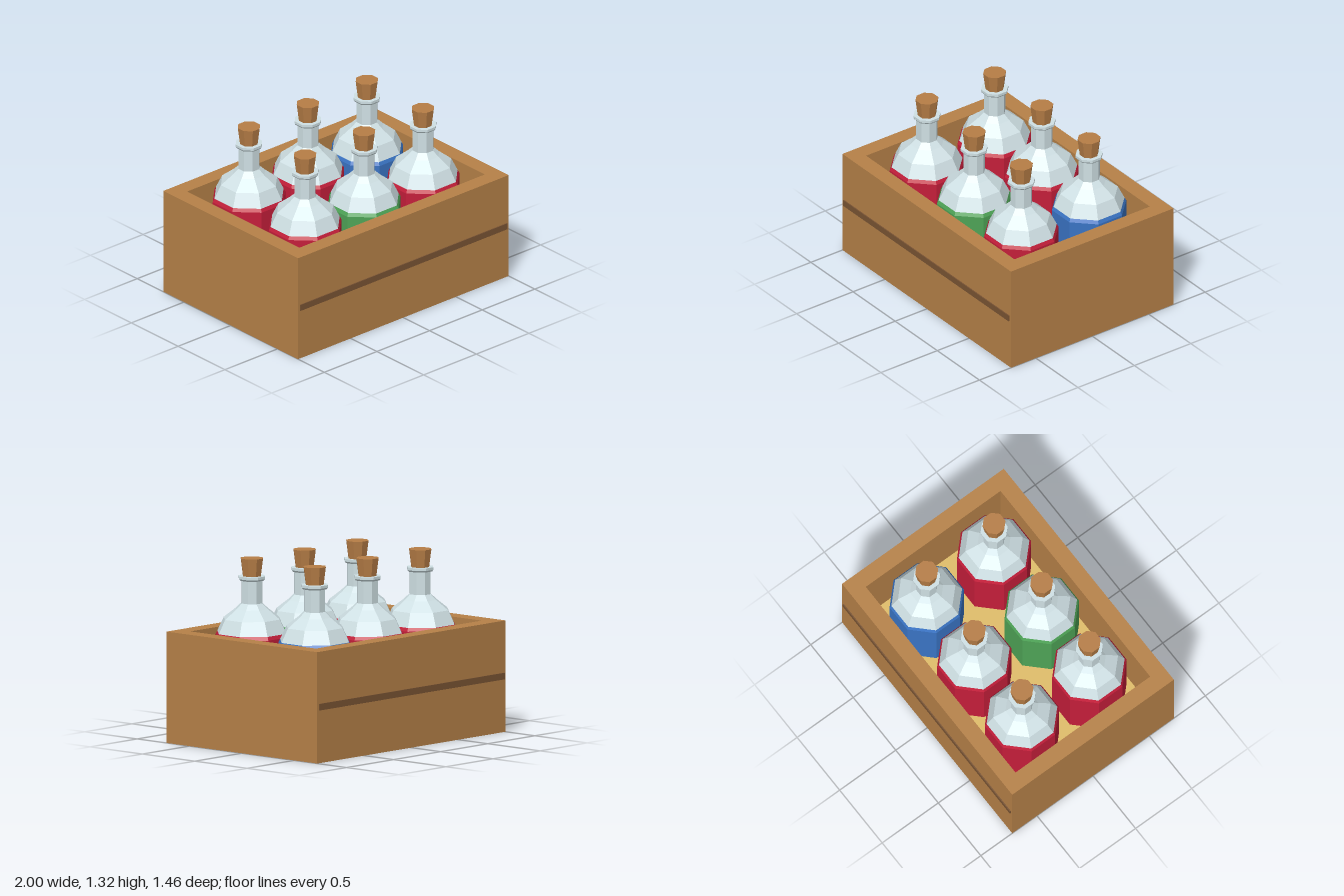
import * as THREE from 'three';

const paint = (name, color) => {
  const m = new THREE.MeshStandardMaterial({ color, flatShading: true });
  m.name = name;
  return m;
};

// Faceted eight-sided solid; the profile lists [distance to flat side, height]
function octagonal(name, profile, material) {
  const corner = 1 / Math.cos(Math.PI / 8);
  const points = profile.map(([r, y]) => new THREE.Vector2(r * corner, y));
  const geo = new THREE.LatheGeometry(points, 8, Math.PI / 8).toNonIndexed();
  geo.computeVertexNormals();
  const mesh = new THREE.Mesh(geo, material);
  mesh.name = name;
  return mesh;
}

function box(name, w, h, d, y, z, material) {
  const mesh = new THREE.Mesh(new THREE.BoxGeometry(w, h, d), material);
  mesh.position.set(0, y, z);
  mesh.name = name;
  return mesh;
}

// Rectangle outline, used for the crate rim and its opening
function rectangle(Type, x, z) {
  const p = new Type();
  p.moveTo(-x, -z);
  p.lineTo(x, -z);
  p.lineTo(x, z);
  p.lineTo(-x, z);
  p.closePath();
  return p;
}

export function createModel() {
  const wood = paint('wood', 0xb68148);
  const darkWood = paint('dark wood', 0x7a5433);
  const straw = paint('straw', 0xdfbc68);
  const glass = paint('glass', 0xcfe0e4);
  const cork = paint('cork', 0xb67d46);
  const red = paint('red liquid', 0xc41e3a);
  const green = paint('green liquid', 0x4ea356);
  const blue = paint('blue liquid', 0x3a74c4);

  const model = new THREE.Group();
  model.name = 'bottleCrate';

  // Crate walls, floor and straw bedding
  const rim = rectangle(THREE.Shape, 1, 0.72);
  rim.holes.push(rectangle(THREE.Path, 0.88, 0.6));
  const wallGeo = new THREE.ExtrudeGeometry(rim, { depth: 0.8, bevelEnabled: false });
  wallGeo.rotateX(-Math.PI / 2);
  const walls = new THREE.Mesh(wallGeo, wood);
  walls.name = 'crateWalls';
  model.add(walls);
  model.add(box('crateFloor', 1.76, 0.12, 1.2, 0.06, 0, wood));
  model.add(box('strawBedding', 1.76, 0.08, 1.2, 0.16, 0, straw));

  // Dark slats on the front and back
  for (const [name, side] of [['frontSlat', 1], ['backSlat', -1]]) {
    model.add(box(name, 1.965, 0.047, 0.02, 0.403, side * 0.718, darkWood));
  }

  // Six bottles: liquid-filled body, clear shoulder and neck, cork
  for (const z of [-0.3, 0.3]) {
    for (const x of [-0.56, 0, 0.56]) {
      const liquid = x > 0 && z < 0 ? blue : x === 0 && z > 0 ? green : red;
      const bottle = new THREE.Group();
      bottle.name = 'bottle';
      bottle.position.set(x, 0, z);
      bottle.add(
        octagonal('liquidBody', [[0, 0.2], [0.21, 0.2], [0.252, 0.25], [0.252, 0.765], [0.24, 0.79]], liquid),
        octagonal('shoulderAndNeck', [
          [0.24, 0.79], [0.195, 0.89], [0.112, 0.96], [0.073, 1.0], [0.073, 1.163],
          [0.083, 1.163], [0.092, 1.175], [0.092, 1.194], [0, 1.194],
        ], glass),
        octagonal('cork', [[0.062, 1.19], [0.078, 1.322], [0, 1.322]], cork),
      );
      model.add(bottle);
    }
  }
  return model;
}
